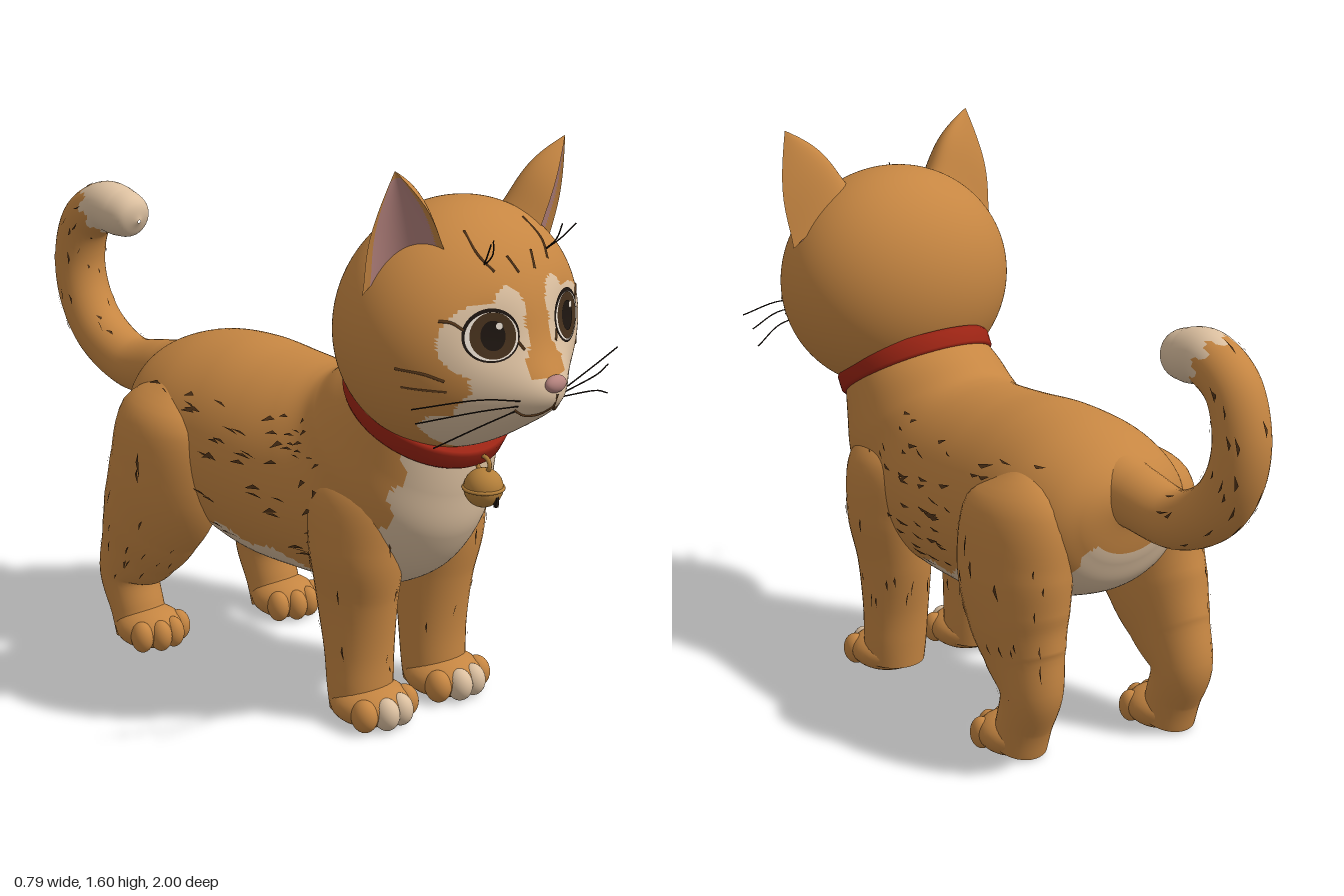
import * as THREE from 'three';
import { mergeGeometries } from 'three/addons/utils/BufferGeometryUtils.js';
import { ParametricGeometry } from 'three/addons/geometries/ParametricGeometry.js';

const V = (x, y, z) => new THREE.Vector3(x, y, z);
const TAU = Math.PI * 2;
const bell2 = (x, y, w, h) => Math.exp(-((x / w) ** 2) - (y / h) ** 2);
const inEllipse = (x, y, w, h) => (x / w) ** 2 + (y / h) ** 2 < 1;

// Head: an ellipsoid with a muzzle bump and shallow eye sockets
const HEAD = { y: 1.14, z: 0.63, rx: 0.355, ry: 0.33, rz: 0.285 };
const bump = (x, y) => 0.09 * bell2(x, y - 1.0, 0.13, 0.1) - 0.015 * bell2(Math.abs(x) - 0.14, y - 1.18, 0.07, 0.07);
const headZ = (x, y, n) => HEAD.z + HEAD.rz * n + (n > 0 ? bump(x, y) * Math.min(1, 3 * n) : 0);
function faceZ(x, y) {
  const e = 1 - (x / HEAD.rx) ** 2 - ((y - HEAD.y) / HEAD.ry) ** 2;
  return headZ(x, y, Math.sqrt(Math.max(e, 0)));
}
function headPoint(u, v, out) {
  const a = TAU * u, b = 0.002 + (Math.PI - 0.004) * v;
  const x = HEAD.rx * Math.sin(b) * Math.sin(a), y = HEAD.y + HEAD.ry * Math.cos(b);
  return out.set(x, y, headZ(x, y, -Math.sin(b) * Math.cos(a)));
}

// Sweep an ellipse along points [x, y, z, radius across, radius in the side plane]
function sweep(points) {
  const path = new THREE.CatmullRomCurve3(points.map((p) => V(p[0], p[1], p[2])), false, 'catmullrom', 0.5);
  const size = new THREE.CatmullRomCurve3(points.map((p) => V(p[3], p[4] ?? p[3], 0)), false, 'catmullrom', 0.5);
  return (u, v, out) => {
    v = Math.min(1, Math.max(0, v));
    const c = path.getPoint(v), r = size.getPoint(v), t = path.getTangent(v);
    const n = t.cross(V(1, 0, 0)).normalize();
    return out.copy(c)
      .addScaledVector(n, Math.max(r.y, 0.004) * Math.sin(TAU * u))
      .add(V(Math.max(r.x, 0.004) * Math.cos(TAU * u), 0, 0));
  };
}

// Torso stations from neck to rump: [half width, top y, top z, bottom y, bottom z]
const TORSO = [
  [0.19, 1.08, 0.42, 0.9, 0.7], [0.215, 1.02, 0.37, 0.8, 0.7], [0.235, 0.97, 0.28, 0.68, 0.69],
  [0.25, 0.93, 0.22, 0.55, 0.66], [0.25, 0.92, 0.17, 0.42, 0.56], [0.265, 0.92, 0.1, 0.34, 0.38],
  [0.28, 0.925, 0, 0.32, 0.12], [0.285, 0.935, -0.15, 0.33, -0.05], [0.28, 0.92, -0.3, 0.4, -0.25],
  [0.24, 0.88, -0.42, 0.47, -0.42], [0.17, 0.83, -0.49, 0.56, -0.48], [0.08, 0.78, -0.52, 0.67, -0.51],
  [0.005, 0.73, -0.525, 0.72, -0.525],
];
const topLine = new THREE.CatmullRomCurve3(TORSO.map((s) => V(s[0], s[1], s[2])), false, 'catmullrom', 0.5);
const bottomLine = new THREE.CatmullRomCurve3(TORSO.map((s) => V(0, s[3], s[4])), false, 'catmullrom', 0.5);
function torsoPoint(u, v, out) {
  const t = topLine.getPoint(v), b = bottomLine.getPoint(v), w = t.x, k = (1 + Math.cos(TAU * u)) / 2;
  t.x = 0;
  out.lerpVectors(b, t, k);
  out.x = w * Math.sin(TAU * u);
  return out;
}

// Split a surface into material groups by a rule on each triangle's centre and uv
function paint(geo, rule, count = 2) {
  const idx = geo.index.array, pos = geo.attributes.position, uv = geo.attributes.uv;
  const sets = Array.from({ length: count }, () => []);
  for (let i = 0; i < idx.length; i += 3) {
    const t = [idx[i], idx[i + 1], idx[i + 2]];
    const mean = (f) => (f(t[0]) + f(t[1]) + f(t[2])) / 3;
    const c = V(mean((k) => pos.getX(k)), mean((k) => pos.getY(k)), mean((k) => pos.getZ(k)));
    sets[rule(c, mean((k) => uv.getX(k)), mean((k) => uv.getY(k)))].push(...t);
  }
  geo.setIndex(sets.flat());
  let start = 0;
  sets.forEach((s, m) => { geo.addGroup(start, s.length, m); start += s.length; });
  return geo;
}

export function createModel() {
  const cat = new THREE.Group();
  cat.name = 'kitten';
  const mat = (name, color, side = THREE.FrontSide) => {
    const m = new THREE.MeshStandardMaterial({ color, side });
    m.name = name;
    return m;
  };
  const ginger = mat('ginger fur', 0xc68642, THREE.DoubleSide), cream = mat('cream fur', 0xdcc0a0);
  const pink = mat('pink skin', 0xb88580, THREE.DoubleSide), red = mat('collar red', 0x9c2414);
  const stroke = mat('dark fur', 0x55361a, THREE.DoubleSide), black = mat('near black', 0x1d1510);
  const brown = mat('eye brown', 0x45301c), gold = mat('bell gold', 0xb5803a), white = mat('eye white', 0xe8ddd0);
  const add = (name, geo, material) => {
    const m = new THREE.Mesh(geo, material);
    m.name = name;
    cat.add(m);
    return m;
  };
  const ball = (name, material, p, r) => {
    const g = new THREE.SphereGeometry(1, 28, 18).scale(...r).translate(...p);
    const a = g.attributes.position;
    for (let i = 0; i < a.count; i++) a.setY(i, Math.max(0, a.getY(i)));
    return add(name, g, material);
  };

  // Small tapered fur strokes lying on a surface
  let seed = 7;
  const rand = (a, b) => a + (b - a) * ((seed = (seed * 16807) % 2147483647) / 2147483647);
  const fur = (name, fn, n, [u0, u1], [v0, v1], du, dv) => {
    const at = (u, v) => {
      const p = fn(u, v, V()), a = fn(u + 0.003, v, V()).sub(p), b = fn(u, v + 0.003, V()).sub(p);
      return p.addScaledVector(a.cross(b).normalize(), 0.004).toArray();
    };
    const list = [];
    for (let i = 0; i < n; i++) {
      const u = rand(u0, u1), v = rand(v0, v1), l = dv * rand(0.5, 1), lean = rand(-1.5, 1.5) * du;
      list.push(...at(u, v), ...at(u + du, v + l * 0.4), ...at(u + lean, v + l));
    }
    const g = new THREE.BufferGeometry();
    g.setAttribute('position', new THREE.Float32BufferAttribute(list, 3));
    g.computeVertexNormals();
    add(name, g, stroke);
  };

  // Torso with cream bib and belly
  add('torso', paint(new ParametricGeometry(torsoPoint, 96, 120), (c, u, v) => {
    const w = 0.145 - 0.09 * Math.exp(-(((v - 0.4) / 0.06) ** 2)) + 0.012 * Math.sin(v * 70);
    return v < 0.86 && Math.abs(u - 0.5) < w ? 1 : 0;
  }), [ginger, cream]);
  for (const s of [0, 0.5]) fur('flankFur', torsoPoint, 75, [0.13 + s, 0.36 + s], [0.28, 0.72], 0.005, 0.035);

  // Tail with cream tip
  const tail = sweep([[-0.4, 0.77, 0.1], [-0.52, 0.755, 0.087], [-0.68, 0.74, 0.08], [-0.82, 0.8, 0.08],
    [-0.9, 0.9, 0.078], [-0.925, 1.02, 0.076], [-0.89, 1.14, 0.075], [-0.8, 1.2, 0.075],
    [-0.72, 1.195, 0.072], [-0.665, 1.185, 0.055], [-0.643, 1.18, 0.005]].map(([z, y, r]) => [0, y, z, r]));
  add('tail', paint(new ParametricGeometry(tail, 32, 90), (c, u, v) => (v > 0.68 + 0.015 * Math.sin(u * 50) ? 1 : 0)), [ginger, cream]);
  fur('tailFur', tail, 45, [0, 1], [0.2, 0.66], 0.012, 0.04);

  // Legs and paws
  const paw = (name, x, z, r, toeMat) => {
    ball(name, ginger, [x, 0.05, z], [r, 0.062, r]);
    [-1.5, -0.5, 0.5, 1.5].forEach((k) => {
      const middle = Math.abs(k) < 1;
      ball('toe', middle ? toeMat : ginger, [x + k * r * 0.47, 0.046, z + r * (middle ? 0.78 : 0.5)], [r * 0.31, 0.046, r * 0.36]);
    });
  };
  for (const s of [1, -1]) {
    const o = s > 0 ? 0.005 : -0.015;
    const front = sweep([[0.14, 0.78, 0.4, 0.02, 0.02], [0.16, 0.67, 0.41, 0.11, 0.14], [0.165, 0.5, 0.42, 0.12, 0.14],
      [0.155, 0.35, 0.415, 0.105, 0.12], [0.15, 0.2, 0.42, 0.098, 0.096], [0.15, 0.1, 0.425, 0.096, 0.088],
      [0.15, 0.03, 0.43, 0.09, 0.085]].map(([x, ...r]) => [s * (x + o), ...r]));
    add('frontLeg', new ParametricGeometry(front, 32, 40), ginger);
    fur('frontLegFur', front, 22, [0, 1], [0.25, 0.75], 0.008, 0.07);
    paw('frontPaw', s * (0.15 + o), 0.465, 0.112, cream);

    const d = s > 0 ? 0 : -0.1; // one hind leg is set further back
    const hind = sweep([[0.18, 0.83, -0.26, 0.02, 0.02, 0], [0.205, 0.73, -0.27, 0.12, 0.17, 0], [0.222, 0.55, -0.265, 0.132, 0.2, 0.1],
      [0.225, 0.4, -0.285, 0.12, 0.175, 0.55], [0.225, 0.3, -0.315, 0.1, 0.14, 0.8], [0.225, 0.2, -0.345, 0.085, 0.095, 1],
      [0.225, 0.1, -0.315, 0.08, 0.078, 1], [0.225, 0.03, -0.29, 0.08, 0.08, 1]]
      .map(([x, y, z, a, b, k]) => [s * x, y, z + d * k, a, b]));
    add('hindLeg', new ParametricGeometry(hind, 36, 44), ginger);
    fur('hindLegFur', hind, 22, s > 0 ? [-0.2, 0.2] : [0.3, 0.7], [0.2, 0.7], 0.006, 0.06);
    paw('hindPaw', s * 0.225, -0.26 + d, 0.1, ginger);
  }

  // Head with cream eye patches, muzzle and chin
  add('head', paint(new ParametricGeometry(headPoint, 170, 120), (c) => {
    const x = Math.abs(c.x), y = c.y;
    if (c.z < 0.68) return 0;
    const eyePatch = inEllipse(x - 0.155, y - 1.165, 0.115, 0.095) || inEllipse(x - 0.085, y - 1.235, 0.045, 0.06);
    const muzzle = inEllipse(x - 0.07, y - 0.99, 0.14, 0.075) || inEllipse(x - 0.13, y - 1.07, 0.07, 0.06);
    const chin = y < 0.975 - 0.1 * Math.max(0, x - 0.15) && x < 0.25 && c.z > 0.73;
    return eyePatch || muzzle || chin ? 1 : 0;
  }), [ginger, cream]);

  // Plates and lines laid on the face
  const disc = (name, material, x, y, rx, ry, lift) => {
    const g = new THREE.RingGeometry(0.001, 1, 36, 6).scale(rx, ry, 1).translate(x, y, 0);
    const a = g.attributes.position;
    for (let i = 0; i < a.count; i++) a.setZ(i, faceZ(a.getX(i), a.getY(i)) + lift);
    g.computeVertexNormals();
    add(name, g, material);
  };
  const hair = (points, r) => new THREE.TubeGeometry(new THREE.CatmullRomCurve3(points), 12, r, 5);
  const line = (points, r) => hair(points.map(([x, y]) => V(x, y, faceZ(x, y))), r);
  const marks = [], whiskers = [];
  for (const s of [1, -1]) {
    const x = s * 0.143;
    disc('eyeRim', black, x, 1.18, 0.076, 0.068, 0.003);
    disc('eyeWhite', white, x, 1.178, 0.07, 0.061, 0.005);
    disc('iris', brown, x - s * 0.002, 1.18, 0.061, 0.059, 0.007);
    disc('pupil', black, x - s * 0.002, 1.18, 0.033, 0.038, 0.009);
    disc('eyeGlint', white, x + 0.02, 1.203, 0.009, 0.009, 0.011);
    marks.push(
      line([[0, 0.985], [s * 0.03, 0.965], [s * 0.065, 0.965], [s * 0.095, 0.985]], 0.004),
      line([[s * 0.21, 1.2], [s * 0.235, 1.22], [s * 0.26, 1.225]], 0.004),
      line([[s * 0.075, 1.16], [s * 0.06, 1.135]], 0.004),
      line([[s * 0.1, 1.33], [s * 0.12, 1.37], [s * 0.11, 1.42]], 0.004),
      line([[s * 0.03, 1.32], [s * 0.045, 1.36]], 0.004),
      line([[s * 0.25, 1.07], [s * 0.29, 1.09], [s * 0.33, 1.1]], 0.004),
      line([[s * 0.24, 1.04], [s * 0.28, 1.045], [s * 0.315, 1.05]], 0.003),
    );
    [[0.395, 1.035, 0.85], [0.37, 0.99, 0.84], [0.335, 0.925, 0.87]].forEach(([wx, wy, wz], i) => {
      const y = 1.01 - i * 0.015;
      whiskers.push(hair([V(s * 0.09, y, faceZ(0.09, y)), V(s * 0.22, (y + wy) / 2 + 0.015, 0.92), V(s * wx, wy, wz)], 0.002));
    });
    for (const k of [0, 1]) {
      whiskers.push(hair([V(s * 0.11, 1.34, 0.82), V(s * (0.12 + k * 0.02), 1.38, 0.86), V(s * (0.13 + k * 0.03), 1.42, 0.87 + k * 0.02)], 0.002));
    }
  }
  marks.push(line([[0, 1.02], [0, 0.985]], 0.004));
  add('faceMarkings', mergeGeometries(marks), stroke);
  add('whiskers', mergeGeometries(whiskers), black);
  ball('nose', pink, [0, 1.045, faceZ(0, 1.045) - 0.002], [0.036, 0.023, 0.02]);

  // Ears: a rounded back and a cupped pink inside, both drawn to a tip
  const tip = V(0.318, 1.598, 0.71), axis = V(0.24, 1.39, 0.67);
  const inner = V(0.17, 1.36, 0.755), outer = V(0.348, 1.27, 0.63);
  for (const s of [1, -1]) {
    const ear = (control) => {
      const base = new THREE.QuadraticBezierCurve3(inner, control, outer);
      return (u, v, out) => {
        const p = base.getPoint(s > 0 ? 1 - u : u), away = p.clone().sub(axis);
        out.lerpVectors(p, tip, v * 0.995).addScaledVector(away, 0.24 * Math.sin(Math.PI * v ** 1.3));
        out.x *= s;
        return out;
      };
    };
    add('earBack', new ParametricGeometry(ear(V(0.06, 1.52, 0.56)), 24, 24), ginger);
    const cup = new ParametricGeometry((u, v, out) => ear(V(0.2, 1.37, 0.62))(1 - u, v, out), 30, 30);
    add('earInside', paint(cup, (c, u, v) => (u > 0.1 && u < 0.92 && v < 0.93 ? 1 : 0)), [ginger, pink]);
  }

  // Collar and bell
  const band = [[0.2, -0.03], [0.225, -0.03], [0.232, -0.02], [0.232, 0.02], [0.225, 0.03], [0.2, 0.03]];
  const collar = add('collar', new THREE.LatheGeometry(band.map(([r, y]) => new THREE.Vector2(r, y)), 56), red);
  collar.position.set(0, 0.9, 0.53);
  collar.rotation.x = 0.53;
  add('bellLoop', new THREE.TorusGeometry(0.022, 0.006, 8, 20).rotateY(Math.PI / 2).translate(0, 0.772, 0.738), gold);
  ball('bell', gold, [0, 0.708, 0.74], [0.053, 0.053, 0.053]);
  add('bellRim', new THREE.TorusGeometry(0.053, 0.005, 8, 32).rotateX(Math.PI / 2).translate(0, 0.708, 0.74), gold);
  add('bellSlot', new THREE.BoxGeometry(0.01, 0.035, 0.009).translate(0, 0.682, 0.786), black);
  return cat;
}
